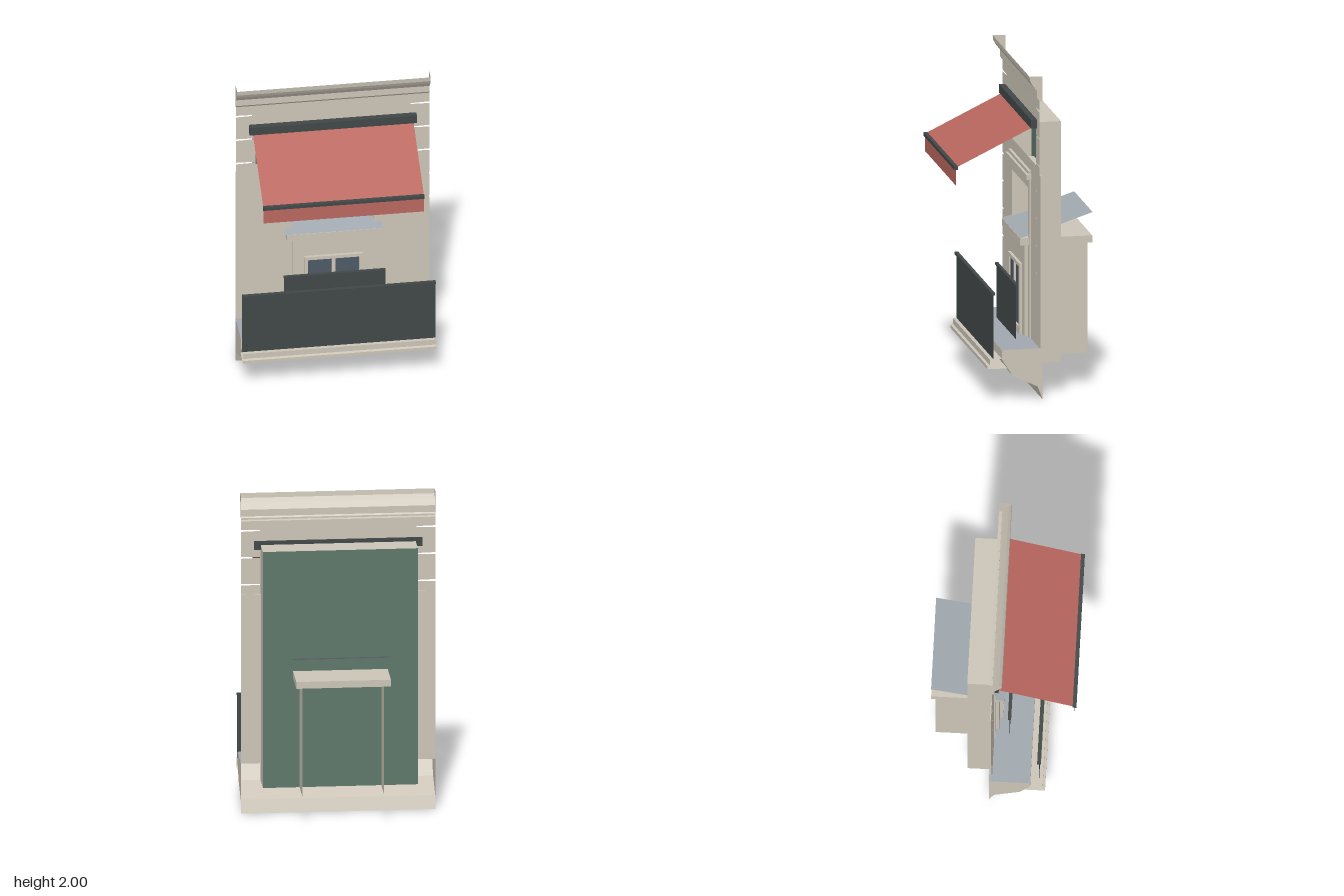
import * as THREE from 'three';

const mat = (name, color) => {
  const m = new THREE.MeshStandardMaterial({ color, side: THREE.DoubleSide });
  m.name = name;
  return m;
};

export function createModel() {
  const stone = mat('stone', 0xcbc4b7);
  const red = mat('awning red', 0xb8665e);
  const dark = mat('dark metal', 0x414747);
  const slate = mat('slate', 0xa0a7ae);
  const glass = mat('glass', 0x4d5965);
  const green = mat('interior green', 0x5f776b);

  const model = new THREE.Group();
  const add = (name, geometry, material, parent = model) => {
    const mesh = new THREE.Mesh(geometry, material);
    mesh.name = name;
    parent.add(mesh);
    return mesh;
  };
  // Box given by its limits on each axis
  const box = (name, m, x0, x1, y0, y1, z0, z1) => {
    const mesh = add(name, new THREE.BoxGeometry(x1 - x0, y1 - y0, z1 - z0), m);
    mesh.position.set((x0 + x1) / 2, (y0 + y1) / 2, (z0 + z1) / 2);
    return mesh;
  };
  // Open sheet: a [z, y] profile swept along x
  const sheet = (name, m, w, profile) => {
    const pos = [];
    for (let i = 0; i < profile.length - 1; i++) {
      const [za, ya] = profile[i], [zb, yb] = profile[i + 1];
      pos.push(-w, ya, za, -w, yb, zb, w, yb, zb, -w, ya, za, w, yb, zb, w, ya, za);
    }
    const g = new THREE.BufferGeometry();
    g.setAttribute('position', new THREE.Float32BufferAttribute(pos, 3));
    g.computeVertexNormals();
    return add(name, g, m);
  };
  const shapeOf = (pts) => new THREE.Shape(pts.map(([x, y]) => new THREE.Vector2(x, y)));
  const rect = (x0, x1, y0, y1) => [[x0, y0], [x1, y0], [x1, y1], [x0, y1]];
  // Flat plates facing sideways at both ends, from a [z, y] outline
  const endCaps = (name, m, w, outline) => {
    for (const s of [-1, 1]) {
      const cap = add(name, new THREE.ShapeGeometry(shapeOf(outline)), m);
      cap.rotation.y = -Math.PI / 2;
      cap.position.x = s * w;
    }
  };
  const plate = (name, m, outline, holes, z, depth = 0) => {
    const shape = shapeOf(outline);
    for (const h of holes) shape.holes.push(shapeOf(h));
    const g = depth
      ? new THREE.ExtrudeGeometry(shape, { depth, bevelEnabled: false })
      : new THREE.ShapeGeometry(shape);
    add(name, g, m).position.z = z;
  };

  // Front wall with block joints cut into both edges
  const right = [[0.59, 0.315]];
  for (let i = 6; i >= 0; i--) {
    const y = 1.78 - i * 0.17;
    right.push([0.59, y - 0.006], [0.475, y - 0.003], [0.475, y + 0.003], [0.59, y + 0.006]);
  }
  right.push([0.59, 1.86]);
  const left = right.map(([x, y]) => [-x, y]).reverse();
  plate('frontWall', stone, [...right, ...left],
    [rect(-0.3, 0.3, 0.33, 1.29), rect(-0.47, 0.47, 1.425, 1.688)], -0.062);
  for (const s of [-1, 1])
    box('jointBacking', stone, s < 0 ? -0.59 : 0.47, s < 0 ? -0.47 : 0.59, 0.315, 1.38, -0.074, -0.068);

  // Cornice, open at the back
  const cornice = [[-0.08, 1.845], [-0.06, 1.85], [-0.047, 1.866], [-0.047, 1.908],
    [-0.02, 1.943], [-0.004, 1.97], [0, 2]];
  sheet('cornice', stone, 0.59, cornice);
  endCaps('corniceEnd', stone, 0.59, [...cornice, [-0.08, 2]]);

  // Balcony base, edge moulding and floor
  const base = [[-0.08, 0], [-0.05, 0.08], [0.105, 0.155], [0.17, 0.255], [0.17, 0.315]];
  sheet('balconyBase', stone, 0.59, base);
  endCaps('balconyBaseEnd', stone, 0.59, [...base, [-0.08, 0.315]]);
  sheet('balconyEdge', stone, 0.59,
    [[0.17, 0.26], [0.245, 0.26], [0.245, 0.225], [0.26, 0.22], [0.26, 0.2], [0.135, 0.2]]);
  sheet('balconyFloor', slate, 0.59, [[0.17, 0.316], [-0.08, 0.316]]);

  // Outer and inner railings
  sheet('outerRailPanel', dark, 0.59, [[0.222, 0.26], [0.222, 0.66]]);
  box('outerHandrail', dark, -0.59, 0.59, 0.655, 0.67, 0.212, 0.235);
  sheet('innerRailPanel', dark, 0.31, [[0.03, 0.316], [0.03, 0.65]]);
  box('innerHandrail', dark, -0.31, 0.31, 0.645, 0.658, 0.02, 0.04);

  // Shallow room behind the wall
  sheet('roomTop', stone, 0.47, [[-0.065, 1.69], [-0.217, 1.69]]);
  endCaps('roomSide', stone, 0.47, [[-0.065, 0.2], [-0.217, 0.2], [-0.217, 1.69], [-0.065, 1.69]]);
  plate('roomBack', green, rect(-0.47, 0.47, 0.2, 1.69), [], -0.217);

  // Window surround with lintel
  plate('windowSurround', stone,
    [[-0.31, 0.316], [-0.25, 0.316], [-0.25, 1.24], [0.25, 1.24], [0.25, 0.316],
      [0.31, 0.316], [0.31, 1.305], [-0.31, 1.305]], [], -0.2, 0.145);
  box('lintel', stone, -0.335, 0.335, 1.305, 1.335, -0.064, -0.03);
  box('lintelCap', stone, -0.32, 0.32, 1.335, 1.355, -0.064, -0.045);

  // Upper window
  plate('windowFrame', stone, rect(-0.25, 0.25, 0.93, 1.24),
    [rect(-0.225, 0.225, 1.043, 1.217), rect(-0.225, -0.012, 0.96, 1.02), rect(0.012, 0.225, 0.96, 1.02)],
    -0.2, 0.02);
  plate('windowGlass', glass, rect(-0.24, 0.24, 0.94, 1.23), [], -0.195);

  // Porch passing through the wall, open at the back
  endCaps('porchSide', stone, 0.248, [[-0.035, 0.316], [-0.215, 0.316], [-0.215, 0.2],
    [-0.422, 0.2], [-0.422, 0.9], [-0.035, 0.9]]);
  plate('porchFront', stone, rect(-0.248, 0.248, 0.316, 0.9), [], -0.035);
  box('porchSlab', stone, -0.287, 0.287, 0.89, 0.933, -0.445, 0);
  sheet('porchRoof', slate, 0.295, [[0, 0.935], [-0.222, 1.005], [-0.445, 1.08]]);

  // Double door
  plate('doorFrame', stone, rect(-0.178, 0.178, 0.316, 0.752),
    [rect(-0.157, -0.011, 0.36, 0.73), rect(0.011, 0.157, 0.36, 0.73)], -0.034, 0.018);
  plate('doorGlass', glass, rect(-0.165, 0.165, 0.34, 0.74), [], -0.028);

  // Awning: case, cloth, front bar and valance
  box('awningCase', dark, -0.51, 0.51, 1.66, 1.714, -0.07, -0.025);
  sheet('awningCloth', red, 0.49, [[-0.05, 1.67], [0.43, 1.435]]);
  box('awningBar', dark, -0.492, 0.492, 1.42, 1.441, 0.422, 0.445);
  sheet('awningValance', red, 0.49, [[0.434, 1.425], [0.434, 1.322]]);

  return model;
}
